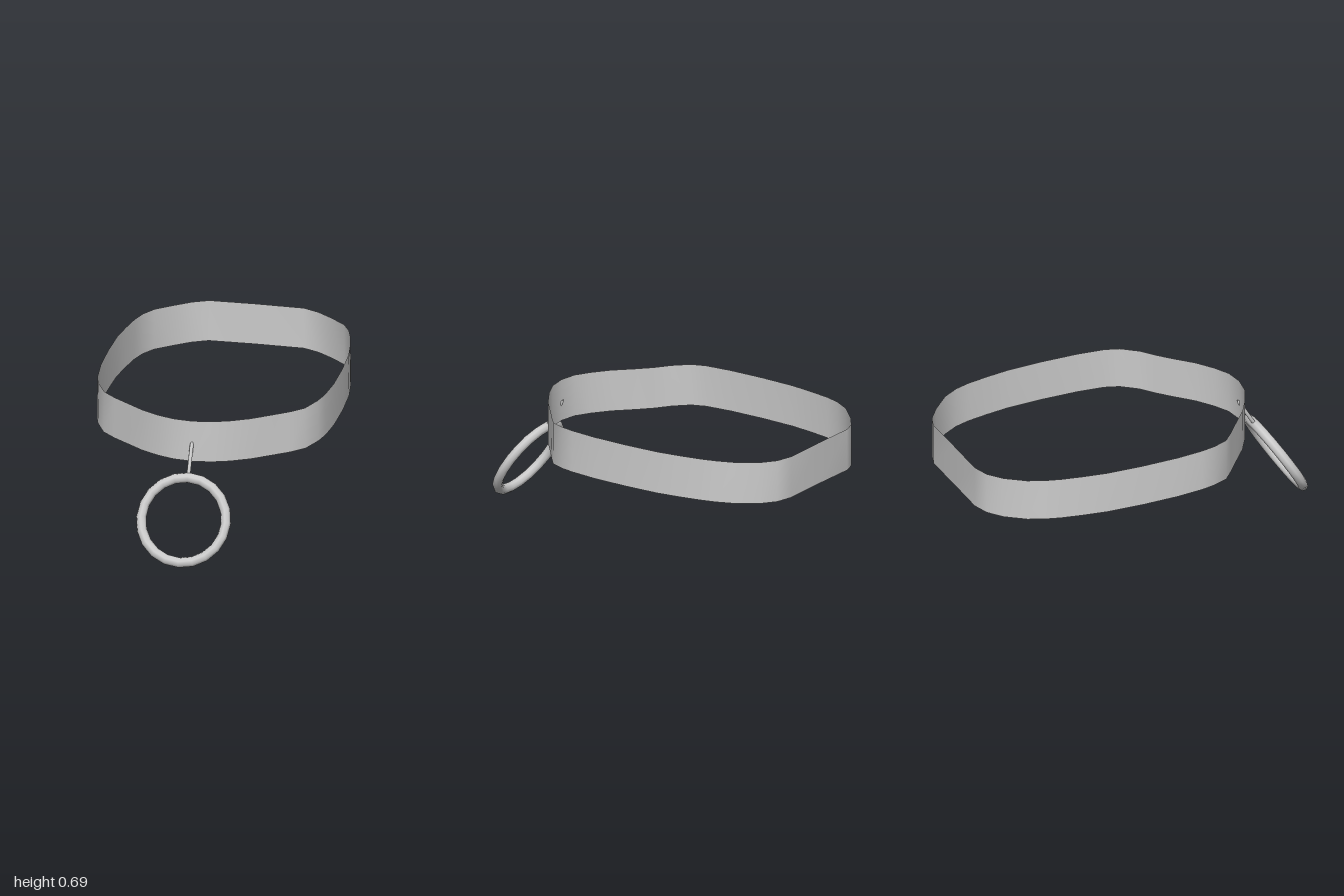
import * as THREE from 'three';

const material = new THREE.MeshStandardMaterial({ color: 0xcccccc, side: THREE.DoubleSide });

// Left half of the band outline, back to front: x, z, height of the top edge
const HALF = [
  [0, -1, 0.69], [0.255, -1, 0.688], [0.34, -0.97, 0.684], [0.42, -0.91, 0.684],
  [0.51, -0.815, 0.692], [0.555, -0.73, 0.696], [0.58, -0.65, 0.697], [0.603, -0.53, 0.697],
  [0.622, -0.4, 0.697], [0.63, -0.2, 0.697], [0.627, 0, 0.697], [0.612, 0.15, 0.697],
  [0.59, 0.23, 0.694], [0.54, 0.32, 0.684], [0.47, 0.38, 0.681], [0.4, 0.437, 0.683],
  [0.29, 0.53, 0.688], [0.19, 0.592, 0.692], [0.1, 0.632, 0.696], [0, 0.646, 0.697],
];
const BAND_HEIGHT = 0.228;

// Thin closed strap whose edges dip gently at the corners
function createBand() {
  const mirrored = HALF.slice(1, -1).reverse().map(([x, z, y]) => [-x, z, y]);
  const outline = [...HALF, ...mirrored];
  const positions = [], indices = [];
  outline.forEach(([x, z, top], i) => {
    positions.push(x, top - BAND_HEIGHT, z, x * 0.993, top, z);
    const a = 2 * i, b = 2 * ((i + 1) % outline.length);
    indices.push(a, a + 1, b, b, a + 1, b + 1);
  });
  const geometry = new THREE.BufferGeometry();
  geometry.setAttribute('position', new THREE.Float32BufferAttribute(positions, 3));
  geometry.setIndex(indices);
  geometry.computeVertexNormals();
  const band = new THREE.Mesh(geometry, material);
  band.name = 'band';
  return band;
}

// Hanging ring and the pin that joins it to the band, sharing one tilt
function createPendant() {
  const pendant = new THREE.Group();
  pendant.name = 'pendant';

  const ring = new THREE.Mesh(new THREE.TorusGeometry(0.226, 0.027, 8, 20), material);
  ring.name = 'ring';

  const profile = [[0, 0.21], [0.01, 0.215], [0.01, 0.395], [0.007, 0.415], [0, 0.43]]
    .map(([r, y]) => new THREE.Vector2(r, y));
  const pin = new THREE.Mesh(new THREE.LatheGeometry(profile, 8), material);
  pin.name = 'pin';

  pendant.add(ring, pin);
  pendant.position.set(0, 0.222, 0.857);
  pendant.rotation.x = -0.55;
  return pendant;
}

export function createModel() {
  const model = new THREE.Group();
  model.name = 'collarWithRing';
  model.add(createBand(), createPendant());
  return model;
}
